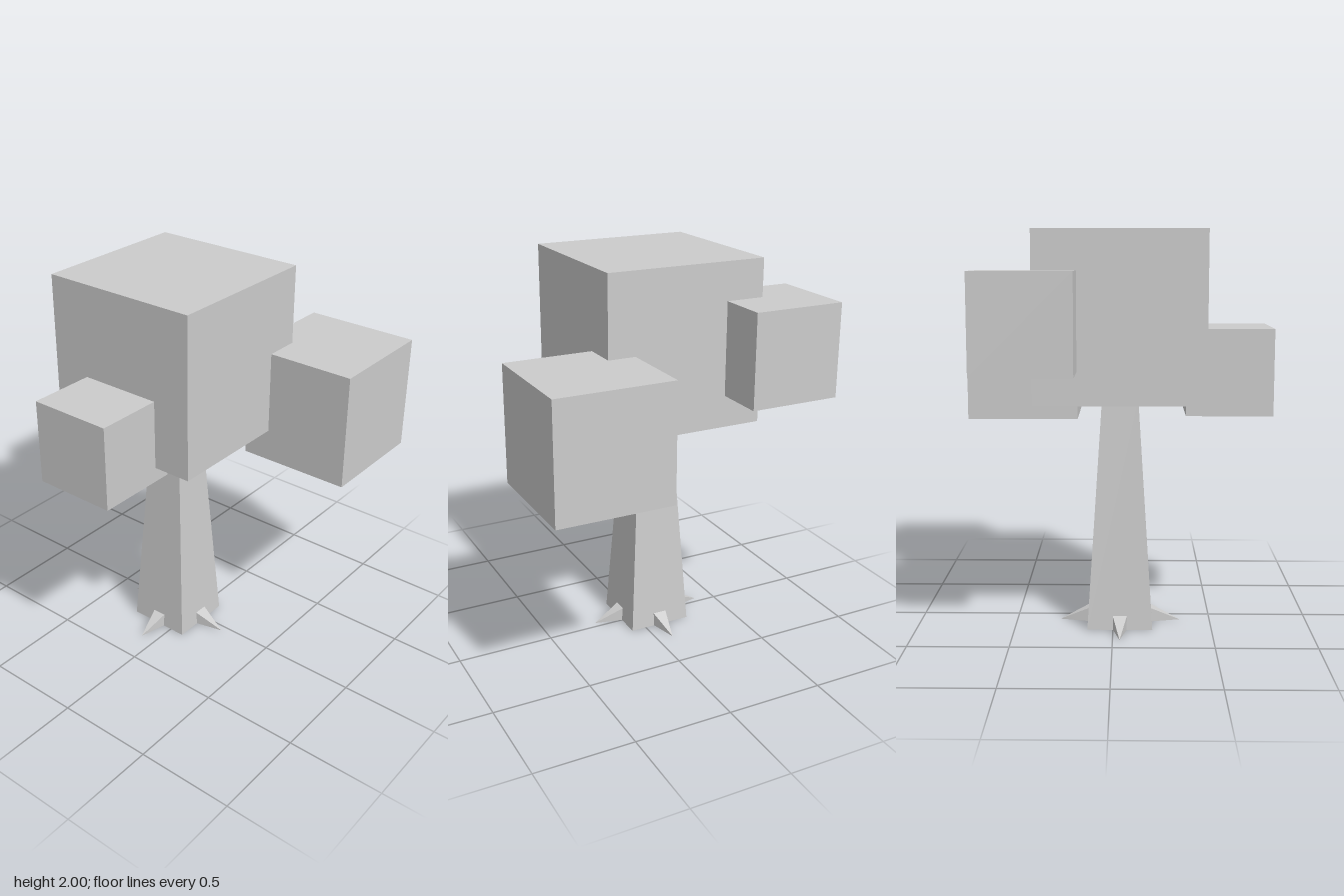
import * as THREE from 'three';

export function createModel() {
  const tree = new THREE.Group();
  tree.name = 'tree';
  const material = new THREE.MeshStandardMaterial({
    color: 0xcccccc, flatShading: true, side: THREE.DoubleSide,
  });
  const add = (parent, name, geometry, x, y, z) => {
    const mesh = new THREE.Mesh(geometry, material);
    mesh.name = name;
    mesh.position.set(x, y, z);
    parent.add(mesh);
    return mesh;
  };
  const trunkX = -0.035, trunkZ = -0.085;

  // Foliage cubes: name, edge length, centre
  const cubes = [
    ['mainFoliage', 0.82, trunkX, 1.59, trunkZ],
    ['frontLeftFoliage', 0.584, 0.488, 1.308, 0.478],
    ['backLeftFoliage', 0.469, 0.4, 1.575, -0.535],
    ['rightFoliage', 0.424, -0.569, 1.317, trunkZ],
  ];
  for (const [name, s, x, y, z] of cubes) add(tree, name, new THREE.BoxGeometry(s, s, s), x, y, z);

  // Tapered square trunk, open at both ends
  const height = 1.18;
  const trunk = new THREE.CylinderGeometry(0.09 * Math.SQRT2, 0.165 * Math.SQRT2, height, 4, 1, true);
  trunk.rotateY(Math.PI / 4);
  add(tree, 'trunk', trunk, trunkX, height / 2, trunkZ);

  // Root spike: square pyramid pointing along +z, its tip drawn down to the ground
  const width = 0.078, inner = 0.147, outer = 0.31, length = outer - inner;
  const spike = new THREE.ConeGeometry(width / Math.SQRT2, length, 4);
  spike.rotateY(Math.PI / 4).rotateX(Math.PI / 2).translate(0, width / 2, length / 2);
  const p = spike.attributes.position;
  for (let i = 0; i < p.count; i++) {
    p.setY(i, p.getY(i) - (width / 2) * (p.getZ(i) / length));
  }
  spike.translate(0, 0, inner);
  spike.computeVertexNormals();

  // One root on each side of the trunk
  const roots = new THREE.Group();
  roots.name = 'roots';
  roots.position.set(trunkX, 0, trunkZ);
  ['frontRoot', 'leftRoot', 'backRoot', 'rightRoot'].forEach((name, i) => {
    add(roots, name, spike, 0, 0, 0).rotation.y = (i * Math.PI) / 2;
  });
  tree.add(roots);
  return tree;
}
